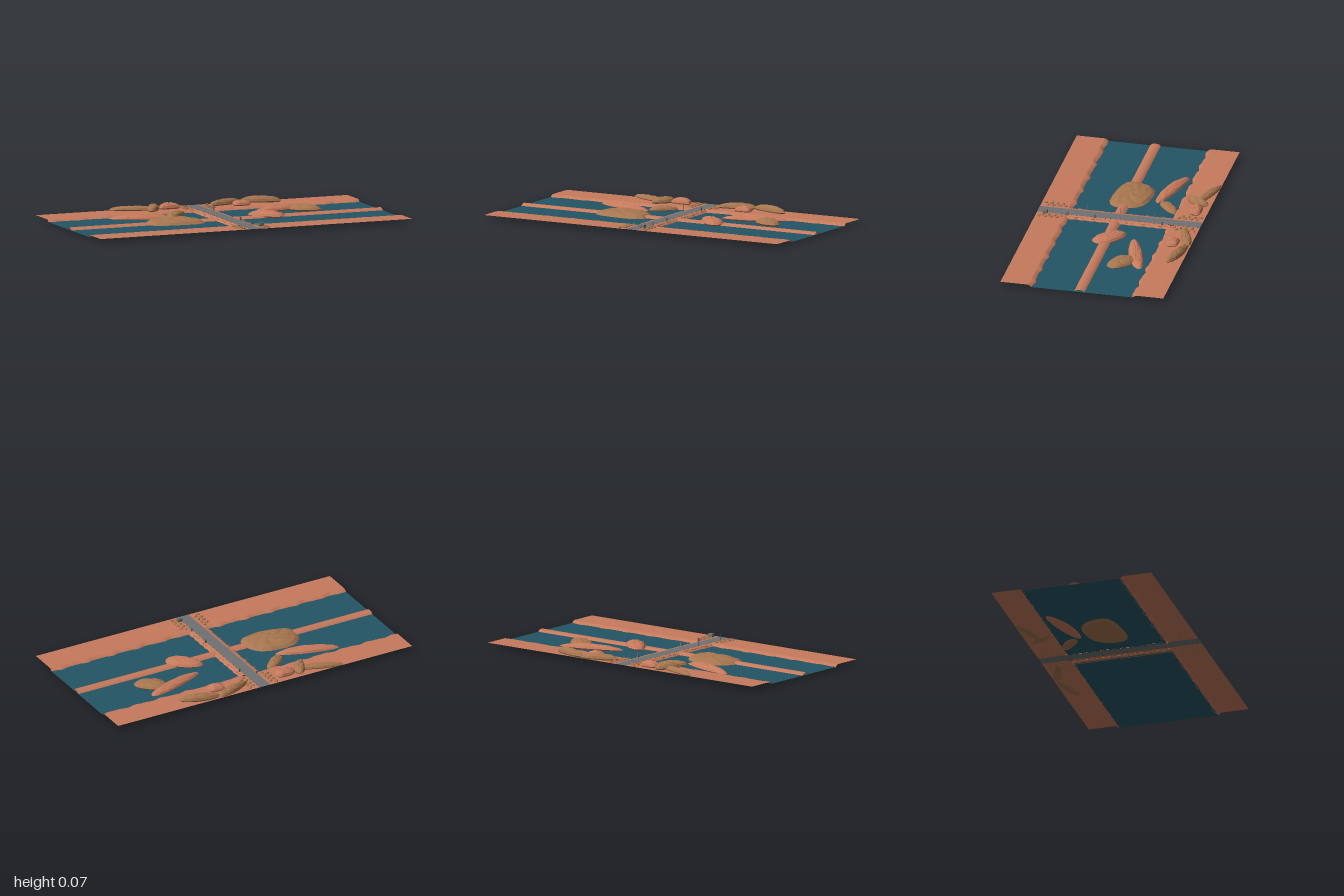
import * as THREE from 'three';

const material = (name, color) => {
  const m = new THREE.MeshStandardMaterial({ color, side: THREE.DoubleSide });
  m.name = name;
  return m;
};

// Surface lofted between rows of [x, y, z] points; closed rows wrap around
function loft(rows, closed = false) {
  const n = rows[0].length, index = [];
  for (let r = 0; r < rows.length - 1; r++) {
    for (let i = 0; i < (closed ? n : n - 1); i++) {
      const a = r * n + i, b = r * n + (i + 1) % n;
      index.push(a, b, a + n, b, b + n, a + n);
    }
  }
  const g = new THREE.BufferGeometry();
  g.setAttribute('position', new THREE.Float32BufferAttribute(rows.flat(2), 3));
  g.setIndex(index);
  g.computeVertexNormals();
  return g;
}

// Faceted dome over a turned oval plan; a shape below 1 is boxy, above 1 is pointed
function rockGeometry([base, top, cx, cz, length, width, turn, shape], seed) {
  const sides = 18;
  const bend = (v) => Math.sign(v) * Math.abs(v) ** shape;
  const rings = [[0, 0], [0.86, 0], [1, 0.25], [0.86, 0.62], [0.6, 0.86], [0.3, 0.97], [0, 1]];
  const rows = rings.map(([scale, h], r) => Array.from({ length: sides }, (_, i) => {
    const t = -2 * Math.PI * i / sides;
    const reach = scale * (1 + 0.05 * Math.sin(3 * t + seed));
    const u = length * reach * bend(Math.cos(t)), v = width * reach * bend(Math.sin(t));
    const bump = r > 2 && r < 6 ? 0.06 * Math.sin(i * 1.9 + r * 2.3 + seed) : 0;
    return [
      cx + u * Math.cos(turn) - v * Math.sin(turn),
      base + (top - base) * (h + bump),
      cz + u * Math.sin(turn) + v * Math.cos(turn),
    ];
  }));
  const g = loft(rows, true).toNonIndexed();
  g.computeVertexNormals();
  return g;
}

export function createModel() {
  const model = new THREE.Group();
  const clay = material('red clay', 0xc67a5c);
  const brown = material('brown rock', 0xa8764f);
  const water = material('deep water', 0x245565);
  const grey = material('road grey', 0x707172);
  const add = (name, geo, mat, x = 0, y = 0, z = 0) => {
    const mesh = new THREE.Mesh(geo, mat);
    mesh.name = name;
    mesh.position.set(x, y, z);
    model.add(mesh);
    return mesh;
  };
  const flat = (w, d) => new THREE.PlaneGeometry(w, d).rotateX(-Math.PI / 2);

  // Road across the middle
  add('road', flat(0.072, 0.99), grey, 0, 0.0245, 0);

  for (const side of [-1, 1]) {
    add('water', flat(0.94, 0.61), water, side * 0.53, 0.01, 0);

    // Front and back banks with a wavy waterline
    for (const end of [-1, 1]) {
      const profile = [[0.495, 0.024], [0.33, 0.024], [0.315, 0.021], [0.3, 0.008]];
      const rows = profile.map(([z, y], r) => Array.from({ length: 61 }, (_, i) => {
        const x = 0.036 + 0.964 * i / 60;
        const wave = r > 1 ? 0.005 * Math.sin(x * 38 + side) + 0.003 * Math.sin(x * 71 + end) : 0;
        return [side * x, y, end * (z + wave)];
      }));
      add(end > 0 ? 'frontBank' : 'backBank', loft(rows), clay);
    }

    // Sloping causeway shoulder beside the road
    const shoulder = [[0.036, 0.024], [0.05, 0.023], [0.058, 0.018], [0.07, 0.008]];
    add('causewayShoulder', loft(shoulder.map(([x, y], r) => Array.from({ length: 41 }, (_, i) =>
      [side * (x + (r > 1 ? 0.003 * Math.sin(i * 1.7) : 0)), y, -0.315 + 0.63 * i / 40]))), clay);

    // Low ridge running through the water
    const ridge = [[-0.016, 0.0105], [-0.004, 0.021], [0.016, 0.025], [0.034, 0.021], [0.048, 0.0105]];
    add('middleRidge', loft(ridge.map(([z, y]) => [[side * 0.05, y, z], [side, y, z]])), clay);
  }

  // Rocks: base, top, centre x, centre z, half length, half width, turn, shape
  const brownRocks = [
    [0, 0.042, -0.32, 0, 0.175, 0.118, 0.1, 0.75],
    [0.006, 0.036, -0.205, -0.25, 0.088, 0.036, -0.68, 0.9],
    [0.011, 0.046, 0.575, -0.14, 0.098, 0.062, 0.62, 0.9],
    [0.022, 0.05, -0.4, -0.447, 0.143, 0.029, 0.32, 1.1],
    [0.022, 0.06, -0.285, -0.405, 0.082, 0.035, -1.05, 1],
    [0.022, 0.058, 0.195, -0.447, 0.122, 0.03, -0.32, 1],
    [0.022, 0.062, 0.418, -0.446, 0.128, 0.03, 0.28, 1],
  ];
  const redRocks = [
    [0.004, 0.036, -0.445, -0.212, 0.193, 0.042, 0.277, 1],
    [0.011, 0.04, 0.455, -0.202, 0.2, 0.042, -0.3, 1],
    [0.011, 0.047, 0.275, 0.003, 0.115, 0.058, 0.75, 0.9],
    [0.022, 0.06, -0.175, -0.425, 0.063, 0.033, 0, 0.5],
    [0.022, 0.055, 0.27, -0.383, 0.052, 0.037, 0, 0.5],
  ];
  brownRocks.forEach((rock, i) => add('brownRock', rockGeometry(rock, i), brown));
  redRocks.forEach((rock, i) => add('redRock', rockGeometry(rock, i + 3), clay));

  // Pebbles at the road ends and stones along the shoulders
  const pebble = new THREE.IcosahedronGeometry(1, 1);
  for (const side of [-1, 1]) {
    for (const end of [-1, 1]) {
      for (let i = 0; i < 8; i++) {
        const p = add('pebble', pebble, brown, side * (i % 2 ? 0.088 : 0.062), 0.026, end * (0.345 + i * 0.018));
        p.scale.set(0.013, 0.007, 0.009);
        p.rotation.y = i * 1.3 + side;
      }
    }
    for (let i = 0; i < 18; i++) {
      const s = add('shoulderStone', pebble, brown, side * (0.054 + 0.004 * Math.sin(i * 2.1)), 0.019, -0.29 + i * 0.034);
      s.scale.set(0.004, 0.004, 0.012 + 0.004 * Math.sin(i * 1.7));
    }
  }

  // Roadside sign, posts and thin markers
  add('sign', new THREE.BoxGeometry(0.03, 0.02, 0.022), grey, 0.053, 0.04, 0.44);
  for (const z of [0.31, 0.145, -0.265]) {
    add('post', new THREE.BoxGeometry(0.008, 0.023, 0.01), grey, 0.045, 0.034, z);
  }
  for (const z of [0.415, 0.207, 0.005, -0.2]) {
    add('marker', new THREE.PlaneGeometry(0.002, 0.046).rotateY(Math.PI / 2), grey, -0.038, 0.046, z);
  }
  return model;
}
